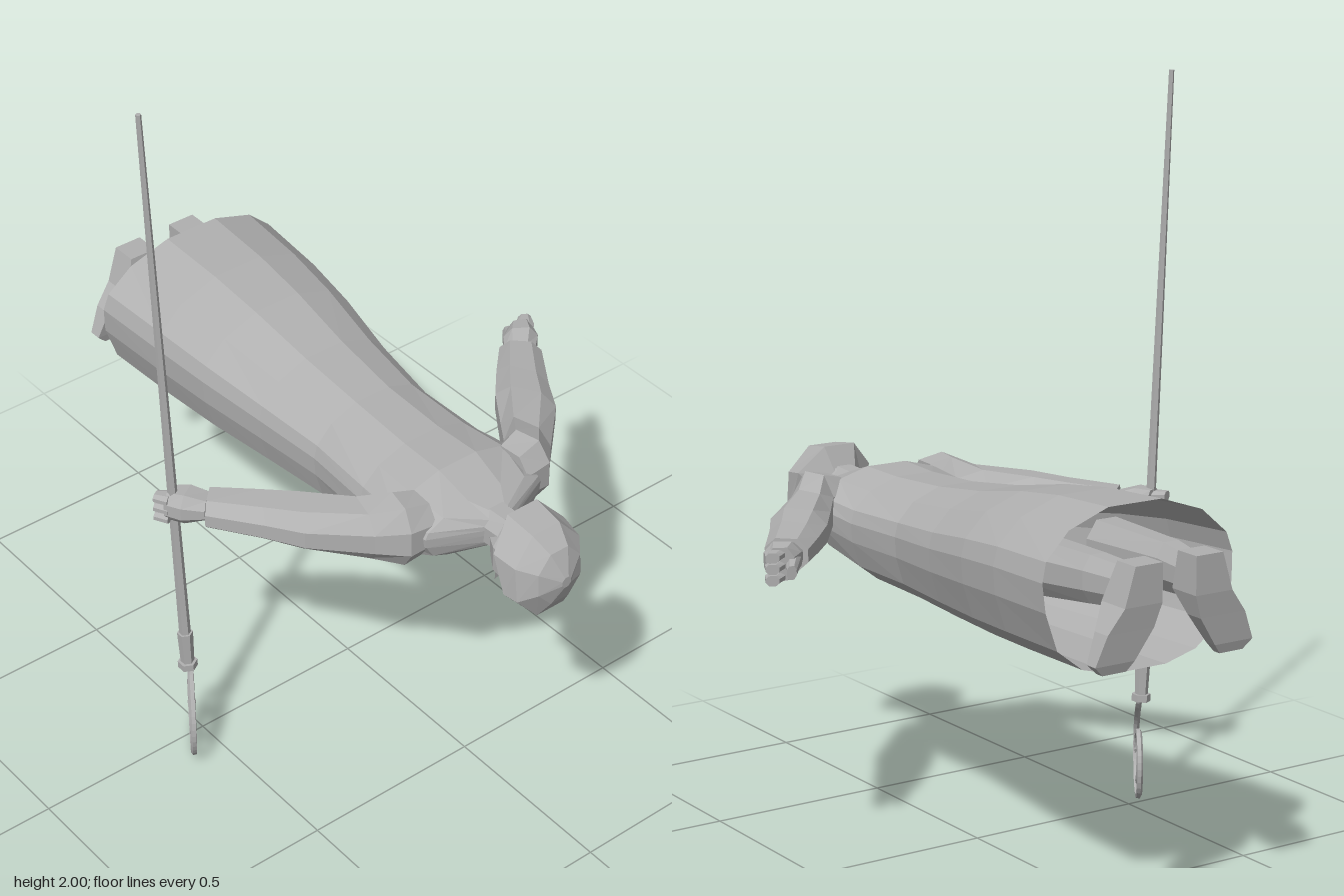
import * as THREE from 'three';

const grey = new THREE.MeshStandardMaterial({ color: 0xb0b0b0, flatShading: true, side: THREE.DoubleSide });
grey.name = 'stone grey';
const V = (x, y, z) => new THREE.Vector3(x, y, z);

// Skin a list of equal-length rings, with optional end caps; faces point outward.
function loft(rings, capStart = true, capEnd = true) {
  const tris = [], n = rings[0].length;
  for (let i = 0; i + 1 < rings.length; i++) {
    for (let j = 0; j < n; j++) {
      const k = (j + 1) % n, a = rings[i], b = rings[i + 1];
      tris.push([a[j], a[k], b[k]], [a[j], b[k], b[j]]);
    }
  }
  const cap = (ring, flip) => {
    const c = ring.reduce((s, p) => s.add(p), V(0, 0, 0)).divideScalar(n);
    ring.forEach((p, j) => {
      const q = ring[(j + 1) % n];
      tris.push(flip ? [c, q, p] : [c, p, q]);
    });
  };
  if (capStart) cap(rings[0], true);
  if (capEnd) cap(rings[rings.length - 1], false);
  const mid = rings.flat().reduce((s, p) => s.add(p), V(0, 0, 0)).divideScalar(n * rings.length);
  let volume = 0;
  for (const [a, b, c] of tris) {
    volume += a.clone().sub(mid).dot(b.clone().sub(mid).cross(c.clone().sub(mid)));
  }
  if (volume < 0) tris.forEach(t => t.reverse());
  const g = new THREE.BufferGeometry().setFromPoints(tris.flat());
  g.computeVertexNormals();
  return g;
}

function add(parent, name, geometry) {
  const m = new THREE.Mesh(geometry, grey);
  m.name = name;
  parent.add(m);
  return m;
}

// Ring across the body: top and bottom points given as [y, z], half width w
function ovalRing([yt, zt], [yb, zb], w, n = 8) {
  return Array.from({ length: n }, (_, i) => {
    const a = (i + 0.5) / n * Math.PI * 2, k = 1 / Math.cos(Math.PI / n);
    const t = 0.5 + 0.5 * Math.cos(a) * k;
    return V(Math.sin(a) * w * k, yb + (yt - yb) * t, zb + (zt - zb) * t);
  });
}

// Eight-sided ring between an inner and an outer [x, z] point
function limbRing([xi, zi], [xo, zo], yb, yt) {
  const shape = [[0, 0.3], [0, 0.7], [0.25, 1], [0.75, 1], [1, 0.7], [1, 0.3], [0.75, 0], [0.25, 0]];
  return shape.map(([u, v]) => V(xi + (xo - xi) * u, yb + (yt - yb) * v, zi + (zo - zi) * u));
}

// Horizontal rectangle used for the feet
const slab = (y, x0, x1, z0, z1) => [V(x0, y, z0), V(x1, y, z0), V(x1, y, z1), V(x0, y, z1)];

function buildRobe(parent) {
  const half = [[0.28, 1], [0.7, 0.9], [0.95, 0.74], [1, 0.62], [0.98, 0.44], [0.86, 0.2], [0.6, 0.06], [0.28, 0]];
  const outline = [...half, ...half.map(([x, t]) => [-x, t]).reverse()];
  // z, half width, bottom, top
  const rows = [
    [0.61, 0.05, 0.79, 0.885], [0.545, 0.19, 0.755, 0.905], [0.44, 0.215, 0.69, 0.94],
    [0.3, 0.2, 0.65, 0.937], [0.1, 0.19, 0.64, 0.948], [-0.1, 0.215, 0.634, 0.975],
    [-0.3, 0.25, 0.634, 1.015], [-0.47, 0.27, 0.637, 1.038], [-0.705, 0.285, 0.642, 1.05],
  ];
  const rings = rows.map(([z, w, b, t], i) => outline.map(([x, f]) =>
    V(x * w, b + (t - b) * f, z + (i === rows.length - 1 ? 0.025 * Math.max(0, f - 0.5) * 2 : 0))));
  add(parent, 'robe', loft(rings, true, false));
}

function buildHead(parent) {
  const head = new THREE.Group();
  head.name = 'head';
  parent.add(head);
  add(head, 'neck', loft([
    ovalRing([0.89, 0.55], [0.78, 0.55], 0.055), ovalRing([0.895, 0.68], [0.78, 0.68], 0.05),
  ]));
  add(head, 'face', loft([
    ovalRing([0.88, 0.62], [0.75, 0.635], 0.05), ovalRing([0.89, 0.66], [0.72, 0.665], 0.07),
    ovalRing([0.89, 0.7], [0.715, 0.74], 0.075), ovalRing([0.88, 0.72], [0.72, 0.79], 0.075),
  ]));
  add(head, 'cap', loft([
    ovalRing([0.87, 0.65], [0.725, 0.76], 0.075), ovalRing([0.948, 0.685], [0.702, 0.785], 0.115),
    ovalRing([0.935, 0.775], [0.7, 0.803], 0.105), ovalRing([0.9, 0.825], [0.75, 0.835], 0.068),
    ovalRing([0.835, 0.857], [0.805, 0.857], 0.014),
  ]));
  // Nose and the points of the beard
  const nose = add(head, 'nose', new THREE.ConeGeometry(0.02, 0.05, 4));
  nose.rotation.x = Math.PI;
  nose.position.set(0, 0.715, 0.72);
  for (const x of [-0.03, 0, 0.03]) {
    const tuft = add(head, 'beardTuft', new THREE.ConeGeometry(0.024, 0.09, 4));
    tuft.rotation.x = Math.PI + 0.35;
    tuft.position.set(x, 0.735, 0.655 - Math.abs(x) * 0.4);
  }
}

function buildArm(parent, side) {
  const arm = new THREE.Group();
  arm.name = side > 0 ? 'leftArm' : 'rightArm';
  parent.add(arm);
  const put = (name, rings) => add(arm, name,
    loft(rings.map(r => r.map(p => V(p.x * side, p.y, p.z)))));
  put('sleeve', [
    limbRing([0.14, 0.41], [0.15, 0.54], 0.77, 0.92),
    limbRing([0.195, 0.395], [0.227, 0.536], 0.755, 0.935),
    limbRing([0.25, 0.32], [0.29, 0.47], 0.765, 0.905),
    limbRing([0.327, 0.21], [0.415, 0.35], 0.778, 0.895),
    limbRing([0.4, 0.13], [0.47, 0.26], 0.785, 0.885),
    limbRing([0.48, 0.05], [0.56, 0.13], 0.79, 0.875),
  ]);
  put('palm', [
    limbRing([0.49, 0.06], [0.55, 0.115], 0.805, 0.865),
    limbRing([0.515, 0.025], [0.595, 0.075], 0.79, 0.88),
    limbRing([0.55, 0], [0.615, 0.03], 0.79, 0.875),
  ]);
  // Curled fingers and thumb
  for (let i = 0; i < 3; i++) {
    const y = 0.785 + i * 0.029;
    put('finger', [
      limbRing([0.57, 0.01], [0.612, 0.04], y, y + 0.027),
      limbRing([0.6, -0.012], [0.63, 0.005], y, y + 0.026),
    ]);
  }
  put('thumb', [
    limbRing([0.515, 0.025], [0.555, 0.03], 0.81, 0.855),
    limbRing([0.56, -0.028], [0.585, -0.022], 0.8, 0.835),
  ]);
}

function buildLeg(parent, side) {
  const leg = new THREE.Group();
  leg.name = side > 0 ? 'leftLeg' : 'rightLeg';
  parent.add(leg);
  const put = (name, rings) => add(leg, name,
    loft(rings.map(r => r.map(p => V(p.x * side, p.y, p.z)))));
  put('shin', [
    limbRing([0.06, -0.4], [0.18, -0.4], 0.79, 0.94),
    limbRing([0.065, -0.68], [0.155, -0.68], 0.82, 0.94),
    limbRing([0.055, -0.8], [0.13, -0.8], 0.83, 0.93),
  ]);
  put('foot', [
    slab(0.948, 0.05, 0.13, -0.858, -0.785), slab(0.85, 0.05, 0.16, -0.858, -0.765),
    slab(0.79, 0.07, 0.205, -0.852, -0.8), slab(0.715, 0.12, 0.235, -0.845, -0.81),
    slab(0.69, 0.14, 0.21, -0.838, -0.815),
  ]);
}

function buildStaff(parent) {
  const staff = new THREE.Group();
  staff.name = 'staff';
  parent.add(staff);
  const top = V(-0.629, 2, 0.02), bottom = V(-0.562, 0.28, 0.032);
  const axis = top.clone().sub(bottom).normalize();
  const along = (name, y0, y1, r0, r1) => {
    const at = y => bottom.clone().lerp(top, (y - bottom.y) / (top.y - bottom.y));
    const m = add(staff, name, new THREE.CylinderGeometry(r1, r0, y1 - y0, 6));
    m.position.copy(at((y0 + y1) / 2));
    m.quaternion.setFromUnitVectors(V(0, 1, 0), axis);
  };
  along('shaft', 0.28, 2, 0.016, 0.007);
  along('socket', 0.3, 0.4, 0.018, 0.021);
  along('collar', 0.28, 0.3, 0.026, 0.026);
  // Spiral crook lying in a slanted vertical plane, points are [z, y]
  const inPlane = ([z, y]) => V(-0.56 - 0.67 * (z - 0.04), y, z);
  const path = [
    [0.032, 0.29], [0.045, 0.265], [0.08, 0.235], [0.12, 0.175], [0.128, 0.11], [0.1, 0.042], [0.035, 0.011],
    [-0.025, 0.042], [-0.043, 0.11], [-0.028, 0.165], [0.02, 0.194], [0.068, 0.172], [0.087, 0.122],
    [0.068, 0.072], [0.027, 0.052], [-0.004, 0.08], [-0.008, 0.12], [0.01, 0.14],
  ].map(inPlane);
  add(staff, 'spiralCrook', new THREE.TubeGeometry(new THREE.CatmullRomCurve3(path), 56, 0.009, 5));
  const leaf = add(staff, 'leafTip', new THREE.OctahedronGeometry(1));
  leaf.scale.set(0.012, 0.022, 0.034);
  leaf.rotation.set(0.5, -0.59, 0, 'YXZ');
  leaf.position.copy(inPlane([0.026, 0.142]));
}

export function createModel() {
  const model = new THREE.Group();
  model.name = 'robedFigureWithStaff';
  buildRobe(model);
  buildHead(model);
  for (const side of [1, -1]) {
    buildArm(model, side);
    buildLeg(model, side);
  }
  buildStaff(model);
  return model;
}
